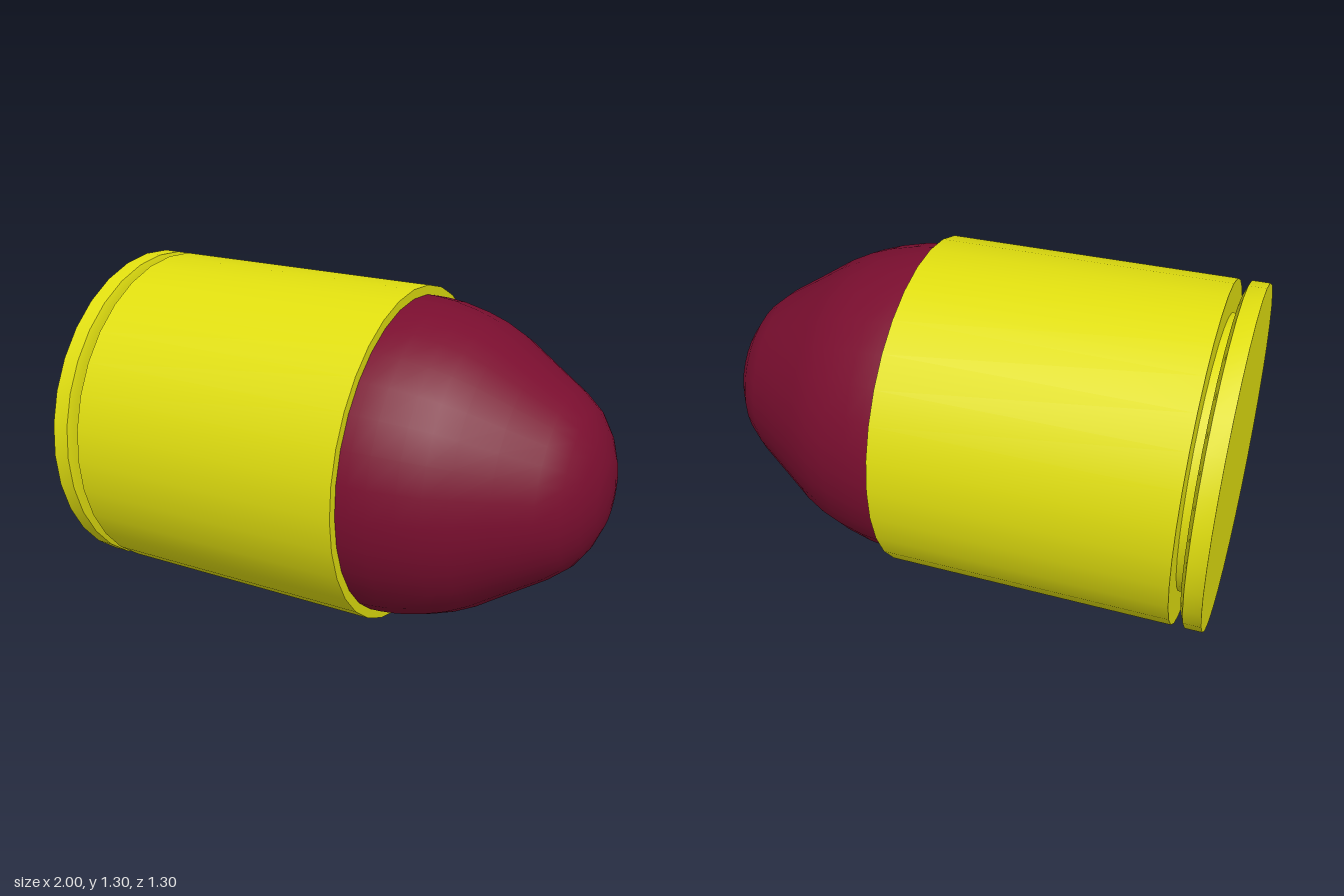
import * as THREE from 'three';
import { toCreasedNormals } from 'three/addons/utils/BufferGeometryUtils.js';

const RADIUS = 0.652;
const SEGMENTS = 32;

// Turns a profile of [x, radius] pairs around the long axis
function turned(name, profile, material, crease) {
  const points = profile.map(([x, r]) => new THREE.Vector2(r, x));
  let geometry = new THREE.LatheGeometry(points, SEGMENTS);
  if (crease) geometry = toCreasedNormals(geometry, crease);
  geometry.rotateZ(-Math.PI / 2);
  const mesh = new THREE.Mesh(geometry, material);
  mesh.name = name;
  mesh.position.y = RADIUS;
  return mesh;
}

export function createModel() {
  const brass = new THREE.MeshStandardMaterial({ color: 0xe0de0f });
  brass.name = 'yellow brass';
  const maroon = new THREE.MeshStandardMaterial({ color: 0x7a0e2f });
  maroon.name = 'maroon';

  const group = new THREE.Group();
  group.name = 'cartridge';

  // Casing: base, bevelled rim, extractor groove, body and mouth ring
  group.add(turned('casing', [
    [-1, 0], [-1, RADIUS], [-0.935, RADIUS], [-0.92, 0.615],
    [-0.92, 0.527], [-0.885, 0.527], [-0.885, RADIUS],
    [0.21, RADIUS], [0.21, 0.6],
  ], brass, 0.5));

  // Rounded nose, smooth all over
  group.add(turned('bulletTip', [
    [0.2, 0.617], [0.25, 0.615], [0.32, 0.607], [0.42, 0.583], [0.5, 0.555],
    [0.58, 0.515], [0.7, 0.436], [0.83, 0.352], [0.9, 0.293],
    [0.95, 0.22], [0.985, 0.135], [0.997, 0.065], [1, 0],
  ], maroon));

  return group;
}
